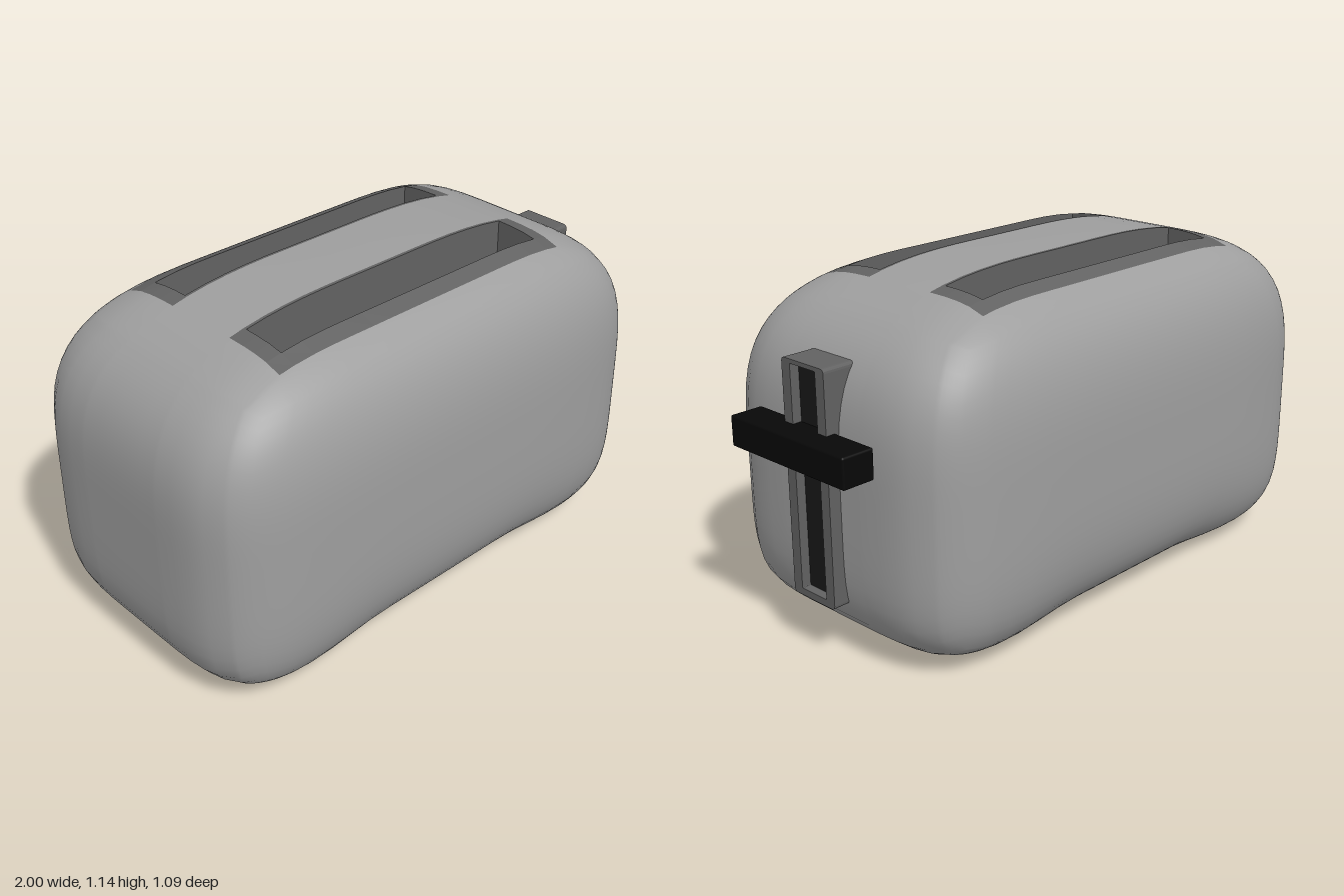
import * as THREE from 'three';
import { mergeVertices } from 'three/addons/utils/BufferGeometryUtils.js';
import { RoundedBoxGeometry } from 'three/addons/geometries/RoundedBoxGeometry.js';

// Half sizes and centre of the rounded body
const A = 0.94, B = 0.5725, C = 0.543, CX = -0.06;
const PLAN = 5.3, K = 0.78;
// Slot edges, measured from the body centre
const SLOT = { x: 0.6, xIn: 0.545, z0: 0.135, z0In: 0.146, z1In: 0.3, z1: 0.355, depth: 0.25 };

const { lerp, smoothstep } = THREE.MathUtils;
const plan = (x, z) => Math.pow(Math.abs(x) ** PLAN + Math.abs(z) ** PLAN, 1 / PLAN);
const place = (x, y, z) => [A * x + CX, B * (y + 1), C * z];

// Fullness of the vertical profile: tighter corners below and towards the ends
function exponent(u, v, w) {
  const t = smoothstep((u * u) / (u * u + w * w + 1e-9), 0.1, 0.6);
  return v > 0 ? lerp(3.2, 3.4, t) : lerp(3.8, 6, t);
}

// Push a point of the unit cube onto the rounded body
function project(u, v, w) {
  const q = exponent(u, v, w);
  const s = Math.pow(plan(u, w) ** q + Math.abs(v) ** q, -1 / q);
  return [u * s, v * s, w * s];
}

// Upper surface above a plan position
function topPoint(x, z) {
  const q = exponent(x, 1, z);
  return [x, Math.pow(1 - plan(x, z) ** q, 1 / q), z];
}

// Top face: straight grid lines around the slots, blending into the rounded rim
function topFace(u, w) {
  const t = smoothstep(Math.max(Math.abs(u), Math.abs(w)), 0.86, 1);
  const p = project(u, 1, w);
  return topPoint(lerp(K * u, p[0], t), lerp(K * w, p[2], t));
}

// Break points joined by evenly spaced lines
function lines(breaks, counts) {
  const out = [breaks[0]];
  counts.forEach((n, i) => {
    for (let k = 1; k <= n; k++) out.push(breaks[i] + ((breaks[i + 1] - breaks[i]) * k) / n);
  });
  return out;
}

// Quads over a grid; skip leaves cells open
function addPatch(pos, a, b, fn, skip) {
  for (let i = 0; i < a.length - 1; i++) {
    for (let j = 0; j < b.length - 1; j++) {
      if (skip && skip((a[i] + a[i + 1]) / 2, (b[j] + b[j + 1]) / 2)) continue;
      const [p, q, r, s] = [[i, j], [i, j + 1], [i + 1, j + 1], [i + 1, j]].map(([m, n]) => fn(a[m], b[n]));
      pos.push(...p, ...q, ...r, ...p, ...r, ...s);
    }
  }
}

function smoothGeometry(pos) {
  let g = new THREE.BufferGeometry();
  g.setAttribute('position', new THREE.Float32BufferAttribute(pos, 3));
  g = mergeVertices(g, 1e-5);
  g.computeVertexNormals();
  return g;
}

function bodyGeometry() {
  const su = (x) => x / (A * K), sw = (z) => z / (C * K);
  const { x, xIn, z0, z0In, z1In, z1 } = SLOT;
  const U = lines([-1, -su(x), -su(xIn), su(xIn), su(x), 1], [6, 1, 14, 1, 6]);
  const zs = [z0, z0In, z1In, z1].map(sw);
  const W = lines([-1, ...zs.map((z) => -z).reverse(), ...zs, 1], [5, 1, 3, 1, 5, 1, 3, 1, 5]);
  const V = lines([-1, 1], [22]);
  const pos = [];
  const put = (p) => place(...p);
  const inSlot = (u, w) => Math.abs(u) < su(x) && Math.abs(w) > zs[0] && Math.abs(w) < zs[3];
  addPatch(pos, U, W, (u, w) => put(topFace(u, w)), inSlot);
  addPatch(pos, W, U, (w, u) => put(project(u, -1, w)));
  addPatch(pos, W, V, (w, v) => put(project(1, v, w)));
  addPatch(pos, V, W, (v, w) => put(project(-1, v, w)));
  addPatch(pos, V, U, (v, u) => put(project(u, v, 1)));
  addPatch(pos, U, V, (u, v) => put(project(u, v, -1)));
  return smoothGeometry(pos);
}

// Flush ledge, walls and floor of one bread slot
function slotGeometry(side) {
  const { x, xIn, z0, z0In, z1In, z1, depth } = SLOT;
  const shallow = (t) => ({ t, deep: false }), sunk = (t) => ({ t, deep: true });
  const xs = [shallow(-x), shallow(-xIn), ...lines([-xIn, xIn], [14]).map(sunk), shallow(xIn), shallow(x)];
  const inner = lines([z0In, z1In], [3]);
  let zs = [shallow(z0), shallow(z0In), ...inner.map(sunk), shallow(z1In), shallow(z1)];
  if (side < 0) zs = zs.map((c) => ({ t: -c.t, deep: c.deep })).reverse();
  const pos = [];
  const point = (a, b) => {
    const p = place(...topPoint(a.t / A, b.t / C));
    if (a.deep && b.deep) p[1] -= depth;
    return p;
  };
  addPatch(pos, xs, zs, point);
  return smoothGeometry(pos);
}

// Upright rounded rectangle path centred on x = 0
function roundedRect(path, w, y0, y1, r) {
  path.moveTo(-w + r, y0);
  path.lineTo(w - r, y0);
  path.quadraticCurveTo(w, y0, w, y0 + r);
  path.lineTo(w, y1 - r);
  path.quadraticCurveTo(w, y1, w - r, y1);
  path.lineTo(-w + r, y1);
  path.quadraticCurveTo(-w, y1, -w, y1 - r);
  path.lineTo(-w, y0 + r);
  path.quadraticCurveTo(-w, y0, -w + r, y0);
  return path;
}

export function createModel() {
  const group = new THREE.Group();
  const shell = new THREE.MeshStandardMaterial({ color: 0x9e9e9e });
  const trim = new THREE.MeshStandardMaterial({ color: 0x626262 });
  const slotTrim = new THREE.MeshStandardMaterial({ color: 0x626262, flatShading: true });
  const dark = new THREE.MeshStandardMaterial({ color: 0x181818 });
  const black = new THREE.MeshStandardMaterial({ color: 0x080808 });
  const add = (name, geometry, material) => {
    const mesh = new THREE.Mesh(geometry, material);
    mesh.name = name;
    group.add(mesh);
    return mesh;
  };

  add('body', bodyGeometry(), shell);
  add('frontSlot', slotGeometry(1), slotTrim);
  add('backSlot', slotGeometry(-1), slotTrim);

  // Lever track on the end of the body
  const shape = roundedRect(new THREE.Shape(), 0.095, 0.185, 0.947, 0.014);
  shape.holes.push(roundedRect(new THREE.Path(), 0.057, 0.208, 0.933, 0.003));
  const frame = new THREE.ExtrudeGeometry(shape, { depth: 0.14, bevelEnabled: false, curveSegments: 4 });
  frame.rotateY(Math.PI / 2);
  add('leverFrame', frame, trim).position.x = 0.782;

  add('leverTrack', new THREE.BoxGeometry(0.1, 0.727, 0.116), dark).position.set(0.84, 0.57, 0);
  add('leverHandle', new RoundedBoxGeometry(0.115, 0.1, 0.516, 2, 0.007), black).position.set(0.9425, 0.695, 0);

  return group;
}
